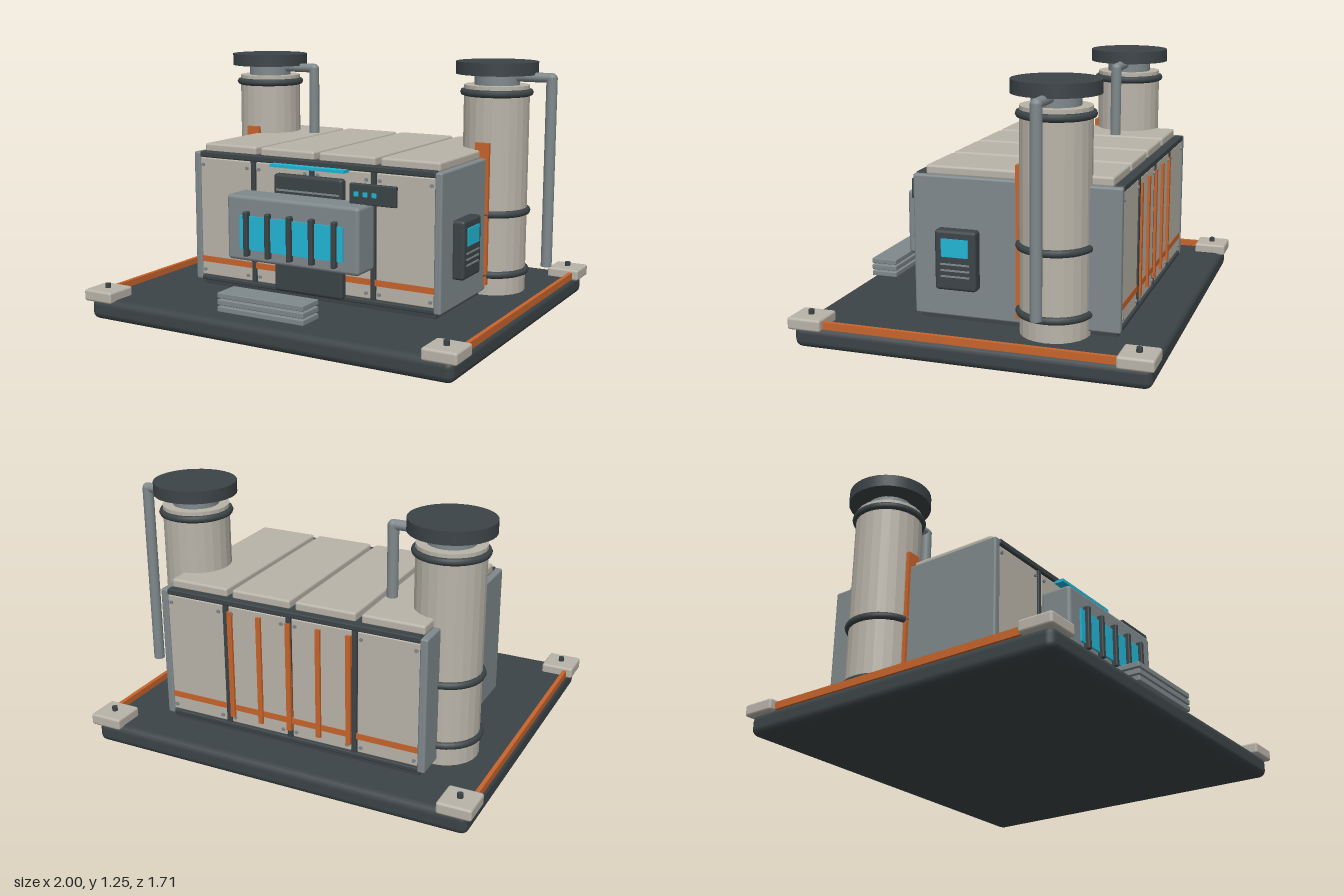
import * as THREE from 'three';
import { RoundedBoxGeometry } from 'three/addons/geometries/RoundedBoxGeometry.js';

const mat = (color) => new THREE.MeshStandardMaterial({ color });
const DARK = mat(0x3c4447), BEIGE = mat(0xb9b4a9), GREY = mat(0x7f898c);
const ORANGE = mat(0xc8642c), CYAN = mat(0x22b6d6);
const BEIGE_FLAT = mat(0xb9b4a9);
BEIGE_FLAT.flatShading = true;

function add(parent, name, geometry, material, x = 0, y = 0, z = 0) {
  const mesh = new THREE.Mesh(geometry, material);
  mesh.name = name;
  mesh.position.set(x, y, z);
  parent.add(mesh);
  return mesh;
}

// Box given by its limits on each axis; r rounds the edges
function box(parent, name, material, [x0, x1], [y0, y1], [z0, z1], r = 0) {
  const s = [x1 - x0, y1 - y0, z1 - z0];
  const geometry = r ? new RoundedBoxGeometry(...s, 2, r) : new THREE.BoxGeometry(...s);
  return add(parent, name, geometry, material, (x0 + x1) / 2, (y0 + y1) / 2, (z0 + z1) / 2);
}

function group(parent, name) {
  const g = new THREE.Group();
  g.name = name;
  parent.add(g);
  return g;
}

function buildBase(root) {
  const base = group(root, 'base');
  box(base, 'baseSlab', DARK, [-0.975, 0.975], [0, 0.105], [-0.84, 0.84], 0.035);
  for (const sx of [-1, 1]) {
    box(base, 'edgeStrip', ORANGE, [sx * 0.96 - 0.01, sx * 0.96 + 0.01], [0.1, 0.135], [-0.72, 0.72]);
    for (const sz of [-1, 1]) {
      const x = sx * 0.917, z = sz * 0.773;
      box(base, 'cornerPad', BEIGE, [x - 0.083, x + 0.083], [0.092, 0.15], [z - 0.083, z + 0.083], 0.012);
      add(base, 'cornerBolt', new THREE.CylinderGeometry(0.014, 0.014, 0.03, 10), DARK, x, 0.157, z);
    }
  }
  // Entry steps
  for (let i = 0; i < 3; i++) {
    const y = 0.132 + i * 0.033;
    box(base, 'step', GREY, [-0.235, 0.232], [y, y + 0.026], [0.665, 0.8], 0.004);
  }
}

function buildBody(root) {
  const body = group(root, 'body');
  box(body, 'core', DARK, [-0.66, 0.66], [0.1, 0.79], [-0.615, 0.33]);
  for (const s of [-1, 1]) {
    box(body, 'sidePlate', GREY, [s * 0.673 - 0.019, s * 0.673 + 0.019], [0.13, 0.793], [-0.635, 0.35], 0.01);
  }
  // Front and back: trims, panels, bolts and stripes
  for (const s of [1, -1]) {
    const wall = s > 0 ? 0.33 : -0.615;
    const depth = (a, b) => [Math.min(wall + s * a, wall + s * b), Math.max(wall + s * a, wall + s * b)];
    box(body, 'topTrim', DARK, [-0.655, 0.655], [0.768, 0.797], depth(-0.025, 0.02), 0.006);
    box(body, 'bottomTrim', DARK, [-0.655, 0.655], [0.13, 0.153], depth(-0.02, 0.02), 0.006);
    for (const x of [-0.337, 0, 0.337]) {
      box(body, 'verticalTrim', DARK, [x - 0.012, x + 0.012], [0.14, 0.78], depth(-0.02, 0.017), 0.005);
    }
    for (let i = 0; i < 4; i++) {
      const x = -0.505 + i * 0.3367;
      box(body, 'wallPanel', BEIGE, [x - 0.152, x + 0.152], [0.157, 0.764], depth(-0.01, 0.012), 0.005);
      for (const bx of [-0.133, 0.133]) for (const by of [0.185, 0.73]) {
        const bolt = add(body, 'panelBolt', new THREE.CylinderGeometry(0.009, 0.009, 0.014, 8),
          GREY, x + bx, by, wall + s * 0.013);
        bolt.rotation.x = Math.PI / 2;
      }
    }
    box(body, 'wallStripe', ORANGE, [-0.655, 0.655], [0.225, 0.255], depth(0, 0.015));
  }
  for (let i = -2; i <= 2; i++) {
    box(body, 'backBar', ORANGE, [i * 0.155 - 0.012, i * 0.155 + 0.012], [0.19, 0.74], [-0.64, -0.62]);
  }
  // Roof panels
  for (let i = 0; i < 4; i++) {
    const x = -0.504 + i * 0.336;
    box(body, 'roofPanel', BEIGE, [x - 0.154, x + 0.154], [0.785, 0.832], [-0.587, 0.3], 0.012);
  }
}

function buildFront(root) {
  const front = group(root, 'frontBay');
  box(front, 'door', DARK, [-0.192, 0.19], [0.14, 0.725], [0.335, 0.382], 0.015);
  box(front, 'doorRail', GREY, [-0.175, 0.175], [0.643, 0.652], [0.375, 0.385]);
  box(front, 'lightStrip', CYAN, [-0.207, 0.207], [0.757, 0.772], [0.335, 0.392]);
  box(front, 'windowHousing', GREY, [-0.365, 0.362], [0.312, 0.632], [0.37, 0.53], 0.018);
  box(front, 'window', CYAN, [-0.285, 0.285], [0.372, 0.537], [0.52, 0.54]);
  for (let i = -2; i <= 2; i++) {
    box(front, 'windowBar', DARK, [i * 0.121 - 0.012, i * 0.121 + 0.012], [0.342, 0.56], [0.525, 0.56], 0.006);
  }
  // Small control panel beside the door
  box(front, 'controlPanel', DARK, [0.265, 0.505], [0.63, 0.727], [0.418, 0.442], 0.005);
  for (const x of [0.302, 0.349, 0.396]) {
    box(front, 'indicator', CYAN, [x - 0.011, x + 0.011], [0.668, 0.69], [0.435, 0.447]);
  }
}

function buildSideTerminal(root) {
  const terminal = group(root, 'sideTerminal');
  box(terminal, 'terminalCase', DARK, [0.685, 0.75], [0.272, 0.555], [0.025, 0.225], 0.015);
  box(terminal, 'terminalScreen', CYAN, [0.74, 0.756], [0.432, 0.517], [0.06, 0.19]);
  for (const y of [0.34, 0.368, 0.397]) {
    box(terminal, 'terminalSlot', GREY, [0.74, 0.754], [y - 0.004, y + 0.004], [0.055, 0.195]);
  }
}

function buildTower(root, x) {
  const tower = group(root, 'tower');
  tower.position.set(x, 0, -0.328);
  add(tower, 'towerShell', new THREE.CylinderGeometry(0.163, 0.163, 1.04, 24), BEIGE_FLAT, 0, 0.62, 0);
  add(tower, 'neck', new THREE.CylinderGeometry(0.112, 0.112, 0.07, 24), GREY, 0, 1.155, 0);
  add(tower, 'capSeat', new THREE.CylinderGeometry(0.09, 0.09, 0.04, 24), DARK, 0, 1.185, 0);
  add(tower, 'cap', new THREE.CylinderGeometry(0.203, 0.203, 0.062, 32), DARK, 0, 1.224, 0);
  for (const y of [0.208, 0.513, 1.104]) {
    add(tower, 'band', new THREE.TorusGeometry(0.163, 0.018, 8, 32), DARK, 0, y, 0).rotation.x = Math.PI / 2;
  }
  box(tower, 'towerStripe', ORANGE, [-0.037, 0.037], [0.16, 0.868], [0.14, 0.177]);
  // Exhaust pipe with an elbow, running to the model's left
  const arm = add(tower, 'pipeArm', new THREE.CylinderGeometry(0.024, 0.024, 0.22, 14), GREY, 0.17, 1.182, 0);
  arm.rotation.z = Math.PI / 2;
  add(tower, 'pipeElbow', new THREE.SphereGeometry(0.026, 14, 10), GREY, 0.283, 1.18, 0);
  add(tower, 'pipeDrop', new THREE.CylinderGeometry(0.027, 0.027, 0.935, 14), GREY, 0.283, 0.717, 0);
}

export function createModel() {
  const root = new THREE.Group();
  root.name = 'industrialUnit';
  buildBase(root);
  buildBody(root);
  buildFront(root);
  buildSideTerminal(root);
  for (const s of [-1, 1]) buildTower(root, s * 0.67);
  return root;
}
